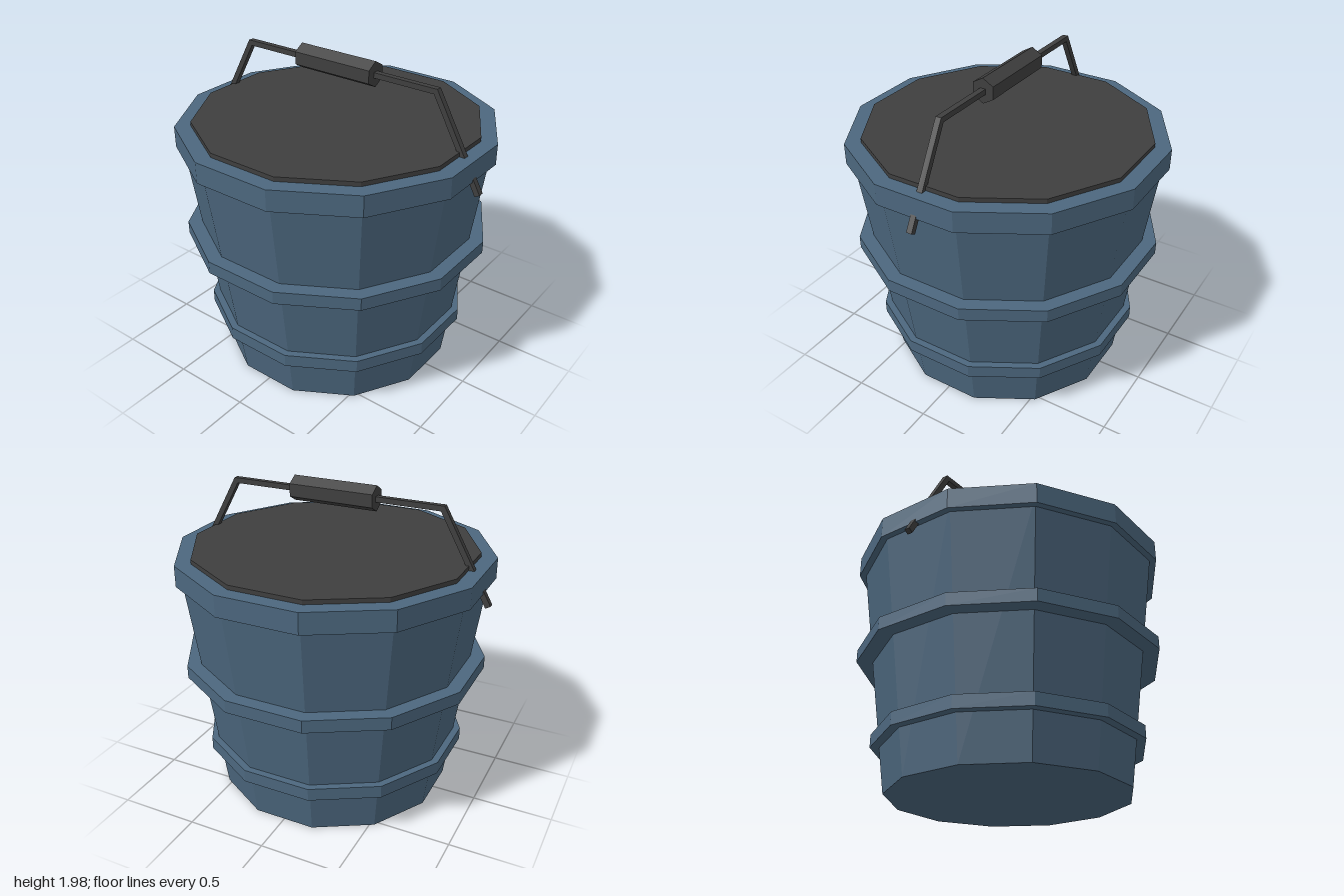
import * as THREE from 'three';

export function createModel() {
  const blue = new THREE.MeshStandardMaterial({ name: 'slate blue', color: 0x4c677e, flatShading: true });
  const dark = new THREE.MeshStandardMaterial({ name: 'charcoal', color: 0x3f3f3f, flatShading: true });
  const model = new THREE.Group();
  model.name = 'bucket';

  const add = (name, geometry, material) => {
    const mesh = new THREE.Mesh(geometry, material);
    mesh.name = name;
    model.add(mesh);
    return mesh;
  };

  // Twelve-sided drum given by its half widths across the flats, flats on the axes
  const drum = (name, bottomHalf, topHalf, y0, y1, material) => {
    const k = 1 / Math.cos(Math.PI / 12);
    const g = new THREE.CylinderGeometry(topHalf * k, bottomHalf * k, y1 - y0, 12, 1, false, Math.PI / 12);
    add(name, g.translate(0, (y0 + y1) / 2, 0), material);
  };

  // Tapered bucket with its hoops, rim and lid
  drum('body', 0.72, 0.92, 0, 1.5, blue);
  drum('lowerHoop', 0.81, 0.81, 0.275, 0.355, blue);
  drum('middleHoop', 0.925, 0.925, 0.82, 0.9, blue);
  drum('rim', 0.95, 0.95, 1.43, 1.56, blue);
  drum('lid', 0.855, 0.855, 1.54, 1.587, dark);

  // Square bent bar that passes through the rim
  const half = [[0.69, 1.917], [1.0, 1.362], [0.97, 1.345], [0.67, 1.884]];
  const mirrored = half.map(([x, y]) => [-x, y]).reverse();
  const outline = new THREE.Shape([...half, ...mirrored].map(([x, y]) => new THREE.Vector2(x, y)));
  const bar = new THREE.ExtrudeGeometry(outline, { depth: 0.036, bevelEnabled: false });
  add('handleBar', bar.translate(0, 0, -0.018), dark);

  // Hexagonal grip with a corner pointing up
  const grip = new THREE.CylinderGeometry(0.078, 0.078, 0.54, 6).rotateX(0).rotateY(Math.PI / 2).rotateZ(Math.PI / 2);
  add('grip', grip.translate(0, 1.902, 0), dark);

  return model;
}
